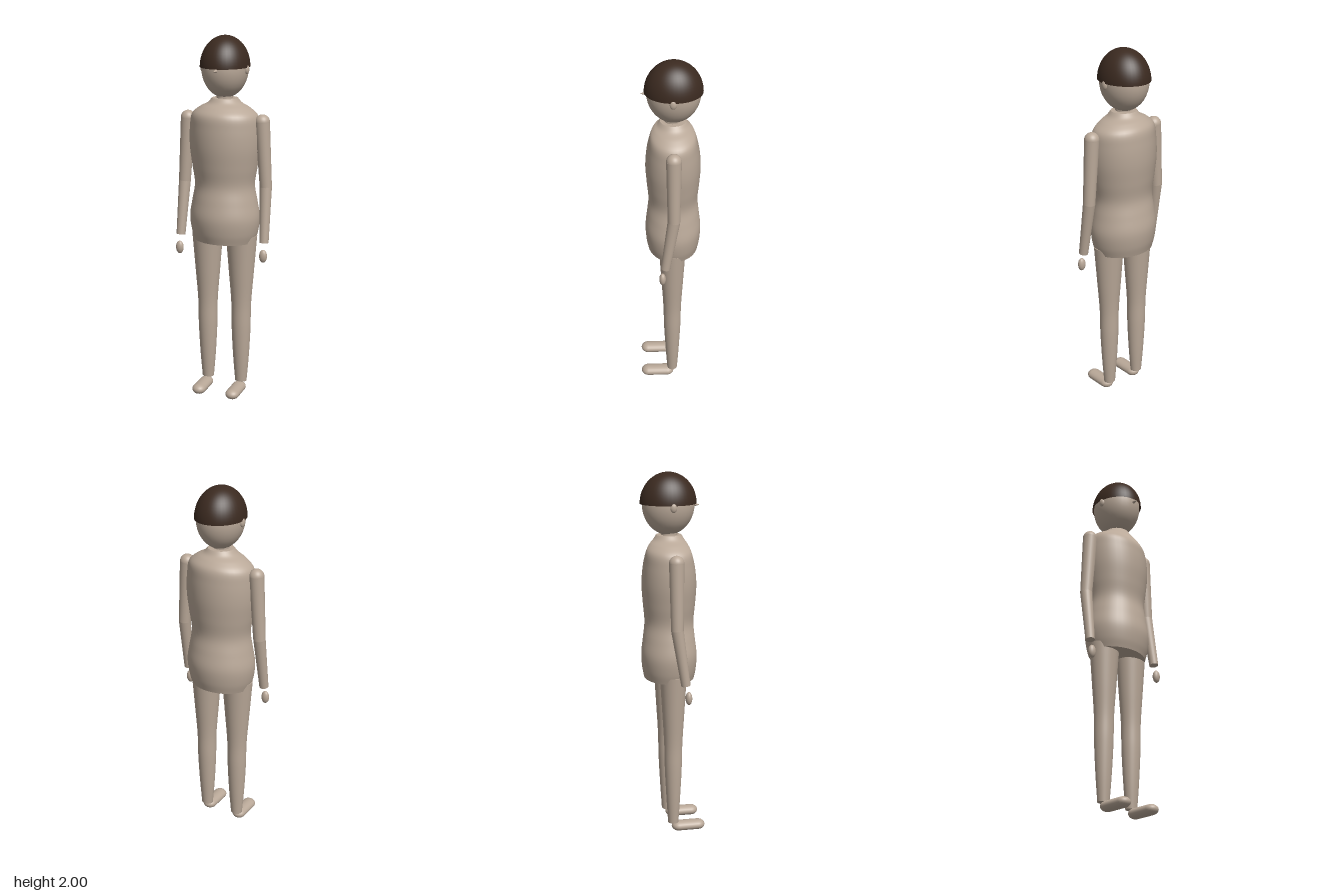
import * as THREE from 'three';

const skin = new THREE.MeshStandardMaterial({ color: 0xb9a898 });
skin.name = 'skin';
const hairBrown = new THREE.MeshStandardMaterial({ color: 0x3b2a20, side: THREE.DoubleSide });
hairBrown.name = 'hairBrown';

function addMesh(parent, name, geometry, material = skin) {
  const mesh = new THREE.Mesh(geometry, material);
  mesh.name = name;
  parent.add(mesh);
  return mesh;
}

// Smooth body of elliptical sections, each [half width, height, half depth], closed with flat ends
function ovalBody(parent, name, sections, x, z) {
  const group = new THREE.Group();
  group.name = name;
  group.position.set(x, 0, z);
  const curve = new THREE.CatmullRomCurve3(sections.map(s => new THREE.Vector3(...s)));
  const profile = curve.getPoints(sections.length * 5);
  const geometry = new THREE.LatheGeometry(profile.map(p => new THREE.Vector2(p.x, p.y)), 40);
  const pos = geometry.attributes.position;
  for (let i = 0; i < pos.count; i++) {
    const p = profile[i % profile.length];
    pos.setZ(i, pos.getZ(i) * p.z / p.x);
  }
  addMesh(group, name + 'Surface', geometry);
  [profile[0], profile[profile.length - 1]].forEach((p, end) => {
    const cap = addMesh(group, name + 'Cap', new THREE.CircleGeometry(1, 40));
    cap.rotation.x = end ? -Math.PI / 2 : Math.PI / 2;
    cap.scale.set(p.x, p.z, 1);
    cap.position.y = p.y;
  });
  parent.add(group);
}

function ellipsoid(parent, name, radii, at) {
  const mesh = addMesh(parent, name, new THREE.SphereGeometry(1, 32, 20));
  mesh.scale.set(...radii);
  mesh.position.set(...at);
}

// Tapered round segment between two points
function segment(parent, name, from, to, r0, r1) {
  const a = new THREE.Vector3(...from), b = new THREE.Vector3(...to);
  const dir = b.clone().sub(a);
  const mesh = addMesh(parent, name, new THREE.CylinderGeometry(r1, r0, dir.length(), 24));
  mesh.position.copy(a).add(b).multiplyScalar(0.5);
  mesh.quaternion.setFromUnitVectors(new THREE.Vector3(0, 1, 0), dir.normalize());
}

export function createModel() {
  const model = new THREE.Group();
  model.name = 'figure';

  // Torso and neck
  ovalBody(model, 'torso', [
    [0.172, 0.885, 0.136], [0.188, 0.94, 0.146], [0.197, 1.02, 0.15], [0.183, 1.11, 0.14],
    [0.168, 1.2, 0.132], [0.182, 1.3, 0.14], [0.196, 1.41, 0.146], [0.196, 1.51, 0.136],
    [0.185, 1.58, 0.118], [0.14, 1.62, 0.1], [0.093, 1.645, 0.083], [0.07, 1.67, 0.068],
  ], 0, -0.017);
  segment(model, 'neck', [0, 1.64, -0.014], [0, 1.71, -0.014], 0.043, 0.043);

  // Head, nose and hair
  ellipsoid(model, 'head', [0.125, 0.162, 0.14], [0, 1.832, -0.02]);
  segment(model, 'nose', [0, 1.825, 0.11], [0, 1.825, 0.148], 0.012, 0.001);
  const hair = addMesh(model, 'hair',
    new THREE.SphereGeometry(1, 40, 16, 0, Math.PI * 2, 0, Math.PI / 2), hairBrown);
  hair.scale.set(0.132, 0.165, 0.151);
  hair.position.set(0, 1.835, -0.02);

  for (const s of [1, -1]) {
    const side = new THREE.Group();
    side.name = s > 0 ? 'leftSide' : 'rightSide';
    model.add(side);

    ellipsoid(side, 'ear', [0.012, 0.025, 0.018], [s * 0.125, 1.825, -0.014]);

    // Arm
    const shoulder = [s * 0.213, 1.552, -0.015];
    const elbow = [s * 0.236, 1.2, -0.015];
    ellipsoid(side, 'shoulder', [0.04, 0.04, 0.04], shoulder);
    segment(side, 'upperArm', shoulder, elbow, 0.04, 0.033);
    ellipsoid(side, 'elbow', [0.033, 0.033, 0.033], elbow);
    segment(side, 'forearm', elbow, [s * 0.244, 0.9, 0.03], 0.033, 0.025);
    ellipsoid(side, 'hand', [0.022, 0.036, 0.018], [s * 0.245, 0.828, 0.046]);

    // Leg
    ovalBody(side, 'leg', [
      [0.033, 0.055, 0.029], [0.045, 0.2, 0.038], [0.054, 0.38, 0.047],
      [0.056, 0.52, 0.05], [0.07, 0.7, 0.06], [0.088, 0.92, 0.073],
    ], s * 0.1, -0.011);

    // Foot, a flattened capsule pointing forward
    const foot = addMesh(side, 'foot', new THREE.CapsuleGeometry(0.039, 0.11, 10, 24));
    foot.rotation.x = Math.PI / 2;
    foot.scale.z = 0.72;
    foot.position.set(s * 0.1, 0.029, 0.075);
  }
  return model;
}
